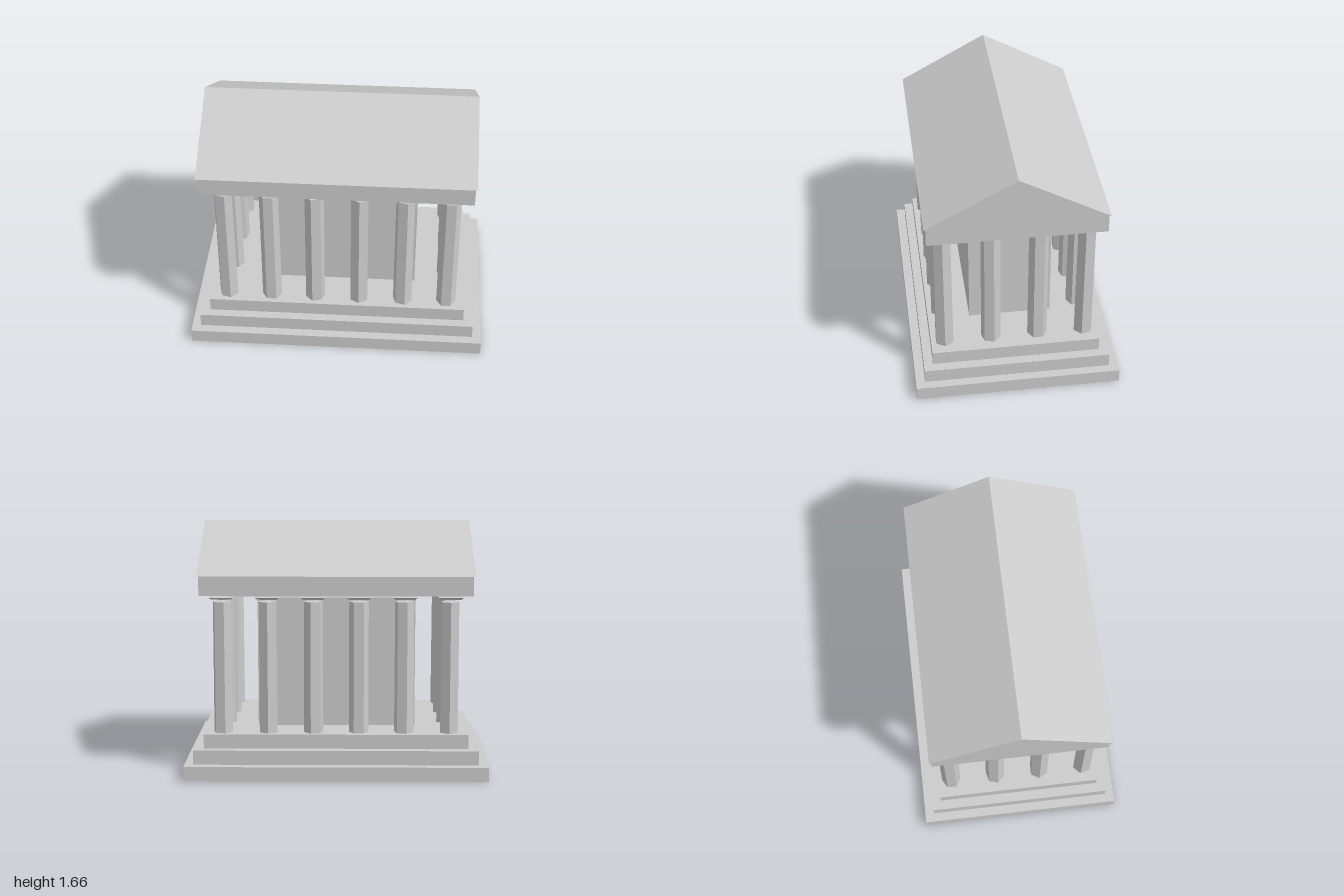
import * as THREE from 'three';

export function createModel() {
  const temple = new THREE.Group();
  temple.name = 'temple';
  const stone = new THREE.MeshStandardMaterial({ color: 0xcccccc, flatShading: true });
  stone.name = 'stone';

  const add = (name, geometry, x = 0, y = 0, z = 0) => {
    const mesh = new THREE.Mesh(geometry, stone);
    mesh.name = name;
    mesh.position.set(x, y, z);
    temple.add(mesh);
    return mesh;
  };
  // Centred block given its half sizes, bottom and top
  const block = (name, hx, hz, y0, y1) =>
    add(name, new THREE.BoxGeometry(2 * hx, y1 - y0, 2 * hz), 0, (y0 + y1) / 2, 0);

  // Stepped base, inner chamber and beam
  block('lowerStep', 1, 0.685, 0, 0.095);
  block('middleStep', 0.94, 0.623, 0.095, 0.19);
  block('upperStep', 0.875, 0.562, 0.19, 0.285);
  block('chamber', 0.53, 0.278, 0.285, 1.16);
  block('beam', 0.892, 0.576, 1.207, 1.336);

  // Gabled roof with its ridge along x
  const gable = new THREE.Shape([
    new THREE.Vector2(-0.588, 1.336),
    new THREE.Vector2(0.588, 1.336),
    new THREE.Vector2(0, 1.66),
  ]);
  const roof = new THREE.ExtrudeGeometry(gable, { depth: 1.81, bevelEnabled: false });
  roof.translate(0, 0, -0.905).rotateY(Math.PI / 2);
  add('roof', roof);

  // Ring of faceted columns, each with a thin flared capital floating above
  const shaft = new THREE.CylinderGeometry(0.064, 0.066, 0.875, 6);
  const capital = new THREE.CylinderGeometry(0.08 * Math.SQRT2, 0.065 * Math.SQRT2, 0.014, 4);
  capital.rotateY(Math.PI / 4);
  for (let i = 0; i < 6; i++) {
    for (let j = 0; j < 4; j++) {
      if (i > 0 && i < 5 && j > 0 && j < 3) continue;
      const x = -0.75 + i * 0.3;
      const z = -0.47 + j * 0.3133;
      const column = add('column', shaft, x, 0.7225, z);
      column.rotation.y = (i * 5 + j * 3) % 4 * 0.26;
      add('capital', capital, x, 1.186, z);
    }
  }
  return temple;
}
